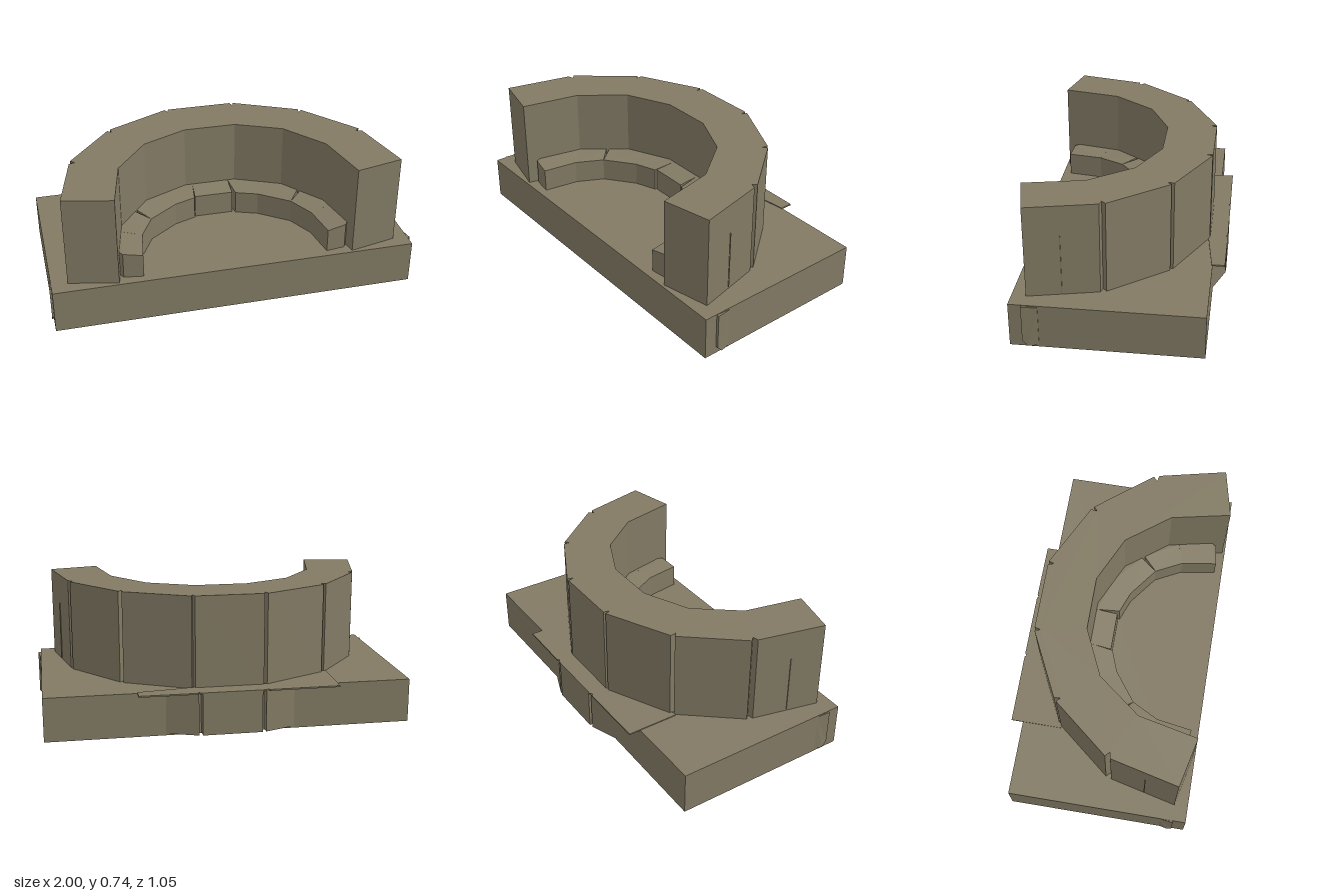
import * as THREE from 'three';

const stone = new THREE.MeshStandardMaterial({ color: 0x827a64 });
stone.name = 'stone';

// Vertical prism from a plan outline of [x, z] points
function prism(name, plan, y0, y1) {
  const shape = new THREE.Shape(plan.map(([x, z]) => new THREE.Vector2(x, -z)));
  const geo = new THREE.ExtrudeGeometry(shape, { depth: y1 - y0, bevelEnabled: false });
  geo.rotateX(-Math.PI / 2).translate(0, y0, 0);
  const mesh = new THREE.Mesh(geo, stone);
  mesh.name = name;
  return mesh;
}

const mirror = (plan) => plan.map(([x, z]) => [-x, z]);

// Ledge block whose top dips slightly towards the middle of the arc
function ledgeBlock(plan) {
  const mesh = prism('ledgeBlock', plan, 0.24, 0.384);
  const p = mesh.geometry.attributes.position;
  for (let i = 0; i < p.count; i++) {
    const inner = Math.hypot(p.getX(i), p.getZ(i) - 0.5) < 0.58;
    if (p.getY(i) > 0.3 && inner) p.setY(i, 0.37);
  }
  mesh.geometry.computeVertexNormals();
  return mesh;
}

export function createModel() {
  const model = new THREE.Group();
  model.name = 'archWall';

  // Rectangular plinth
  model.add(prism('plinth', [[-0.99, -0.46], [0.985, -0.46], [0.985, 0.525], [-0.99, 0.525]], 0, 0.24));

  // Faceted half-ring wall with narrow V grooves at its outer corners
  const outerHalf = [
    [0.903, 0.45],
    [0.818, 0.085], [0.785, 0.077], [0.808, 0.055],
    [0.567, -0.243], [0.545, -0.222], [0.55, -0.257],
    [0.203, -0.428], [0.193, -0.395], [0.185, -0.43],
  ];
  const innerHalf = [[0.145, -0.155], [0.395, -0.04], [0.572, 0.19], [0.64, 0.51]];
  const wallPlan = [
    ...outerHalf, ...mirror(outerHalf).reverse(),
    ...mirror(innerHalf).reverse(), ...innerHalf,
  ];
  model.add(prism('wall', wallPlan, 0.24, 0.74));

  // Ring of low blocks inside the wall
  const ledge = new THREE.Group();
  ledge.name = 'innerLedge';
  const blocks = [
    [[0.625, 0.44], [0.585, 0.25], [0.475, 0.285], [0.505, 0.48], [0.61, 0.465]],
    [[0.584, 0.25], [0.572, 0.19], [0.475, 0.065], [0.4, 0.14], [0.475, 0.285]],
    [[0.465, 0.05], [0.395, -0.04], [0.31, -0.08], [0.24, 0.02], [0.4, 0.14]],
    [[0.31, -0.08], [0.145, -0.155], [0.105, -0.155], [0.12, -0.025], [0.24, 0.02]],
  ];
  for (const plan of blocks) ledge.add(ledgeBlock(plan), ledgeBlock(mirror(plan)));
  ledge.add(ledgeBlock([[-0.105, -0.155], [0.105, -0.155], [0.102, -0.035], [-0.115, -0.035]]));
  model.add(ledge);

  // Projecting panel on the back with a tapering wedge at each side
  model.add(prism('backPanel', [[-0.16, -0.525], [0.16, -0.525], [0.16, -0.45], [-0.16, -0.45]], 0.01, 0.24));
  const wedge = [[0.18, -0.522], [0.35, -0.459], [0.18, -0.45]];
  model.add(prism('backWedge', wedge, 0.01, 0.24), prism('backWedge', mirror(wedge), 0.01, 0.24));

  // Thin slab capping the back panel and overhanging the plinth
  model.add(prism('backCap', [
    [-0.58, -0.525], [-0.2, -0.527], [-0.19, -0.515], [-0.18, -0.527], [0.17, -0.527],
    [0.18, -0.515], [0.19, -0.527], [0.495, -0.525], [0.495, -0.455], [0.2, -0.42],
    [-0.2, -0.42], [-0.56, -0.24], [-0.58, -0.24],
  ], 0.237, 0.245));

  // Small chamfered lugs and thin slivers on both flanks
  for (const s of [1, -1]) {
    const profile = new THREE.Shape([
      [0.375, 0.01], [0.43, 0.01], [0.457, 0.04], [0.457, 0.237], [0.375, 0.232],
    ].map(([z, y]) => new THREE.Vector2(-z, y)));
    const geo = new THREE.ExtrudeGeometry(profile, { depth: 0.03, bevelEnabled: false });
    geo.rotateY(Math.PI / 2).translate(s > 0 ? 0.97 : -1, 0, 0);
    // Taper the outer face back into the plinth
    const p = geo.attributes.position;
    for (let i = 0; i < p.count; i++) {
      if (Math.abs(p.getX(i)) > 0.99 && p.getZ(i) < 0.4) p.setX(i, s * 0.988);
    }
    geo.computeVertexNormals();
    const lug = new THREE.Mesh(geo, stone);
    lug.name = 'sideLug';
    model.add(lug);

    const sliver = new THREE.Mesh(new THREE.BoxGeometry(0.008, 0.325, 0.005), stone);
    sliver.name = 'wallSliver';
    sliver.position.set(s * 0.862, 0.412, 0.275);
    model.add(sliver);
  }
  return model;
}
